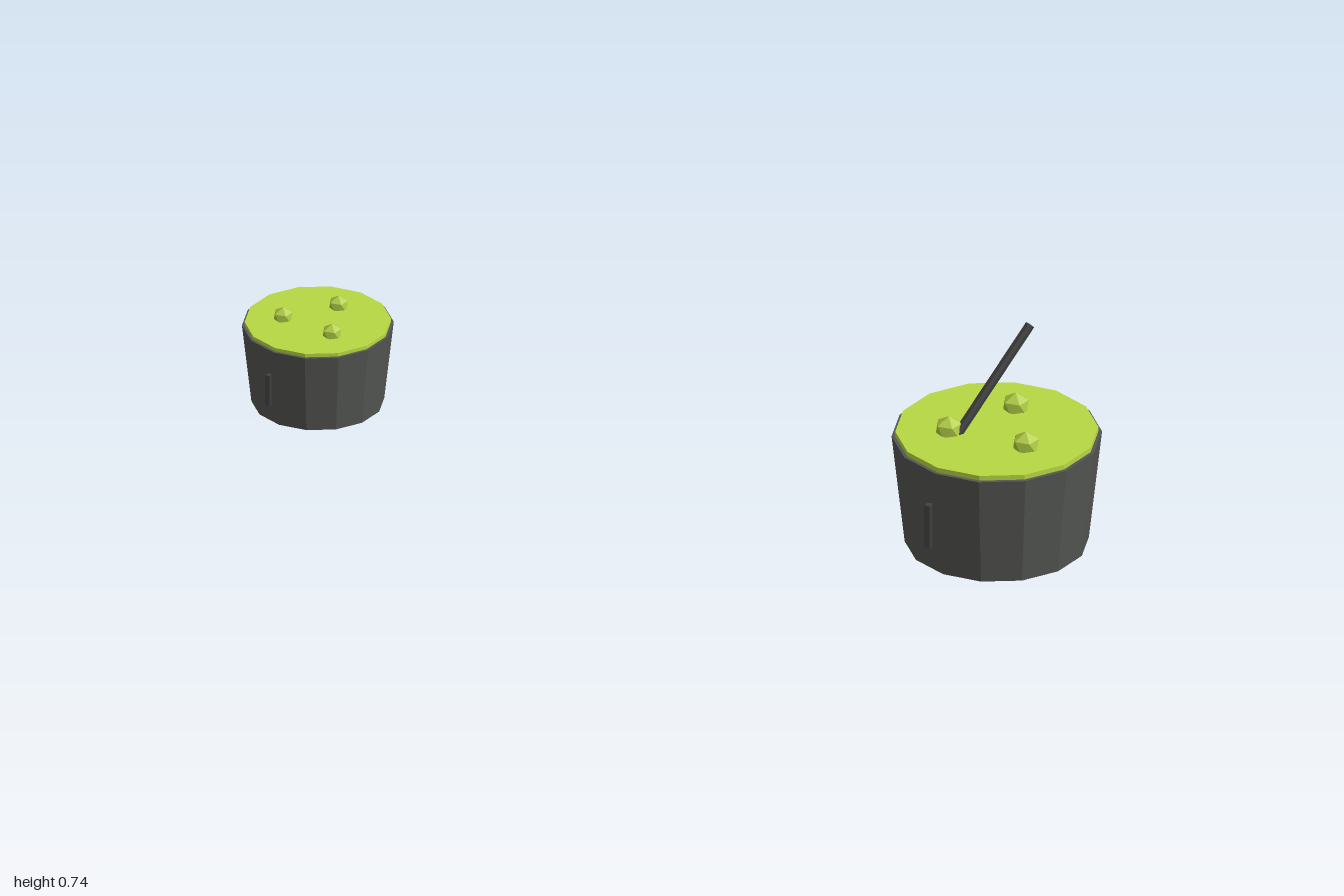
import * as THREE from 'three';

const mat = (color) => new THREE.MeshStandardMaterial({ color, flatShading: true });
const iron = mat(0x555753);
const darkIron = mat(0x3f403f);
const brew = mat(0xb8d844);
const foam = mat(0xb0cc45);
const SIDES = 14;

function part(parent, name, geometry, material, x = 0, y = 0, z = 0) {
  const mesh = new THREE.Mesh(geometry, material);
  mesh.name = name;
  mesh.position.set(x, y, z);
  parent.add(mesh);
  return mesh;
}

// Pot of rim radius 1, origin at the centre of its base; start = angle of the first bubble
function makePot(name, start) {
  const pot = new THREE.Group();
  pot.name = name;
  const H = 1.13;

  part(pot, 'potBody', new THREE.CylinderGeometry(1, 0.875, H, SIDES), iron, 0, H / 2, 0);
  part(pot, 'brewSurface', new THREE.CylinderGeometry(0.965, 0.965, 0.1, SIDES), brew, 0, H, 0);

  // Upright bar handles on opposite sides
  for (const [label, side] of [['rightHandle', 1], ['leftHandle', -1]]) {
    const a = THREE.MathUtils.degToRad(145);
    part(pot, label, new THREE.CylinderGeometry(0.04, 0.04, 0.45, 6), darkIron,
      side * 1.025 * Math.cos(a), H / 2, side * 1.025 * Math.sin(a));
  }

  // Three faceted bubbles, each with a corner pointing up
  const bubble = new THREE.IcosahedronGeometry(0.14, 0);
  bubble.rotateX(-Math.atan((1 + Math.sqrt(5)) / 2));
  for (let i = 0; i < 3; i++) {
    const a = THREE.MathUtils.degToRad(start + i * 120);
    part(pot, 'bubble', bubble, foam, 0.46 * Math.cos(a), H + 0.08, 0.46 * Math.sin(a));
  }
  return pot;
}

// Straight rod between two points
function makeRod(name, from, to, radius) {
  const dir = to.clone().sub(from);
  const rod = new THREE.Mesh(new THREE.CylinderGeometry(radius, radius, dir.length(), 8), darkIron);
  rod.name = name;
  rod.position.copy(from).add(to).multiplyScalar(0.5);
  rod.quaternion.setFromUnitVectors(new THREE.Vector3(0, 1, 0), dir.normalize());
  return rod;
}

export function createModel() {
  const model = new THREE.Group();
  model.name = 'cauldrons';

  const small = makePot('smallCauldron', 82);
  small.scale.setScalar(0.207);
  small.position.set(-0.79, 0, -0.793);

  const large = makePot('largeCauldron', 69);
  large.scale.setScalar(0.287);
  large.position.set(0.706, 0.118, 0.708);

  // Stirring stick leaning out of the large pot
  const stick = makeRod('stirringStick',
    new THREE.Vector3(0.555, 0.4, 0.711), new THREE.Vector3(0.818, 0.73, 0.645), 0.014);

  model.add(small, large, stick);
  return model;
}
